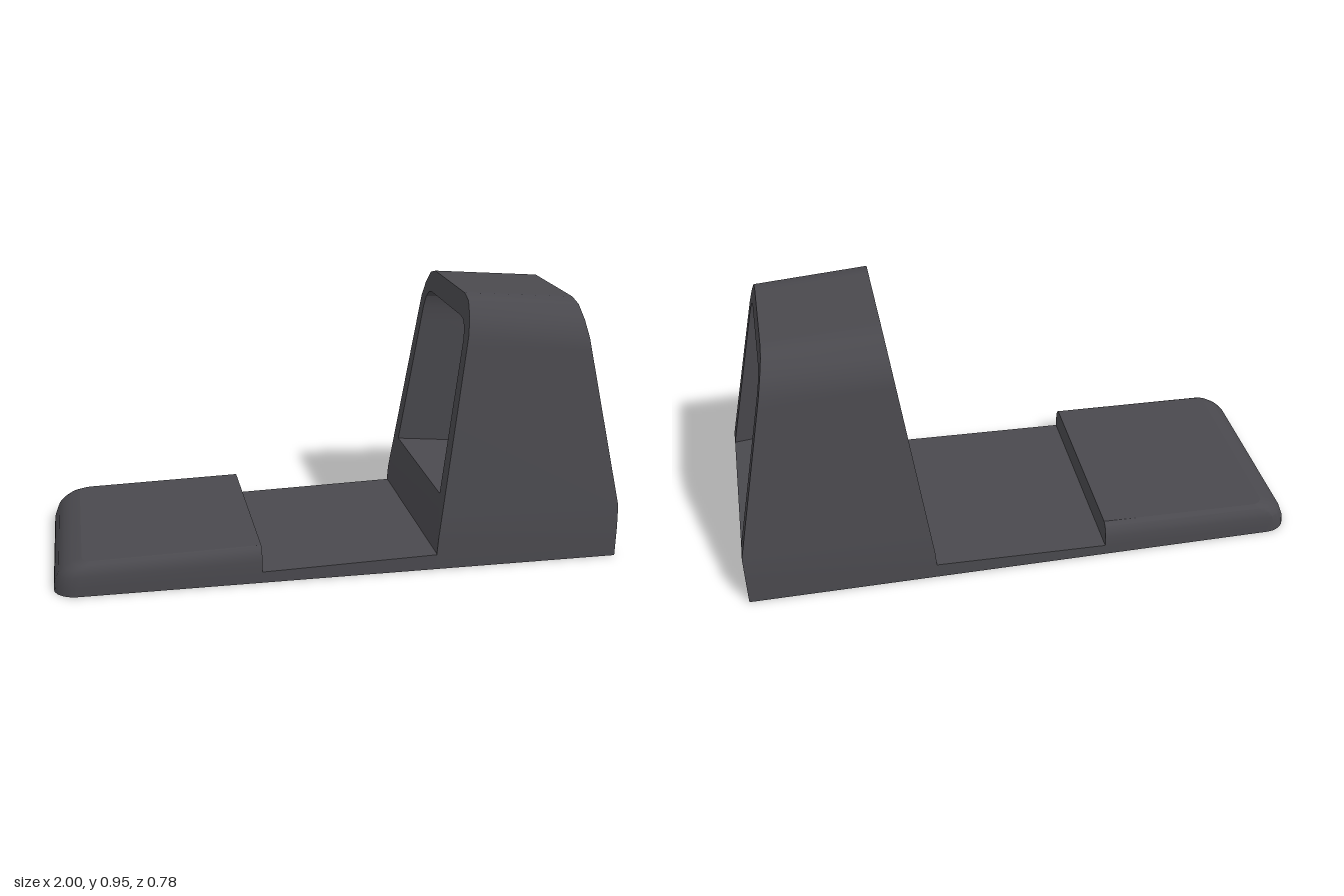
import * as THREE from 'three';
import { toCreasedNormals } from 'three/addons/utils/BufferGeometryUtils.js';

// Skin closed rings of equal point count, in order
function loft(rings) {
  const pos = [], n = rings[0].length;
  for (let k = 0; k + 1 < rings.length; k++) {
    const A = rings[k], B = rings[k + 1];
    for (let i = 0; i < n; i++) {
      const j = (i + 1) % n;
      for (const tri of [[A[i], A[j], B[j]], [A[i], B[j], B[i]]]) {
        const [a, b, c] = tri.map((p) => new THREE.Vector3(...p));
        const area = b.clone().sub(a).cross(c.clone().sub(a)).length();
        if (area > 1e-8) pos.push(...tri.flat());
      }
    }
  }
  const g = new THREE.BufferGeometry();
  g.setAttribute('position', new THREE.Float32BufferAttribute(pos, 3));
  return toCreasedNormals(g, 0.5);
}

const W = 0.388; // half width of the body

export function createModel() {
  const group = new THREE.Group();
  const charcoal = new THREE.MeshStandardMaterial({ color: 0x4a494e });
  charcoal.name = 'charcoal';
  const add = (name, geometry) => {
    const mesh = new THREE.Mesh(geometry, charcoal);
    mesh.name = name;
    group.add(mesh);
  };

  // Hood: tapered arch with a tunnel through it along x
  const outer = [[W, 0], [W, 0.11], [0.381, 0.19], [0.325, 0.78], [0.32, 0.83],
    [0.292, 0.89], [0.25, 0.935], [0.195, 0.95], [0.17, 0.95]];
  const inner = [[0.31, 0.195], [0.31, 0.195], [0.31, 0.195], [0.274, 0.72], [0.27, 0.78],
    [0.256, 0.82], [0.23, 0.843], [0.2, 0.85], [0.18, 0.85]];
  const leanIn = (y) => 0.325 + 0.148 * Math.max(0, y - 0.05);
  const leanOut = (y) => (y < 0.19 ? 0.995 + 0.026 * y : 1 - 0.2 * (y - 0.19));
  const arch = (half, xOf, yOf) => [
    ...half.map(([z, y]) => [xOf(yOf(y)), yOf(y), -z]),
    ...half.map(([z, y]) => [xOf(yOf(y)), yOf(y), z]).reverse(),
  ];
  const outerBack = arch(outer, leanIn, (y) => y);
  const outerFront = arch(outer, leanOut, (y) => (y > 0.5 ? y - 0.03 : y));
  const innerFront = arch(inner, leanOut, (y) => y);
  const innerBack = arch(inner, leanIn, (y) => (y < 0.5 ? y + 0.06 : y + 0.02));
  add('hood', loft([outerBack, outerFront, innerFront, innerBack, outerBack]));

  // Thin sloping bridge between pad and hood
  const bridge = new THREE.Shape();
  bridge.moveTo(-0.29, 0);
  bridge.lineTo(0.335, 0);
  bridge.lineTo(0.335, 0.055);
  bridge.lineTo(-0.29, 0.04);
  const bridgeGeo = new THREE.ExtrudeGeometry(bridge, { depth: 2 * W, bevelEnabled: false });
  add('bridge', bridgeGeo.translate(0, 0, -W));

  // Pad: rounded outlines stacked as [height, end inset, side inset]
  const layers = [[0, 0, 0], [0.03, 0.004, 0], [0.07, 0.02, 0], [0.09, 0.04, 0.005],
    [0.105, 0.065, 0.014], [0.115, 0.1, 0.03]];
  const tilt = (x, y) => y * (1 + 0.2 * (x + 0.9));
  const outline = ([y, dx, dz]) => {
    const r = 0.08 - dx * 0.4, w = W - dz, pts = [[-0.29, w], [-0.29, -w]];
    for (const side of [-1, 1]) {
      for (let i = 0; i <= 5; i++) {
        const a = (side < 0 ? i : 5 - i) * Math.PI / 10;
        pts.push([-1 + dx + r - r * Math.sin(a), side * (w - r + r * Math.cos(a))]);
      }
    }
    return pts.map(([x, z]) => [x, tilt(x, y), z]);
  };
  const rings = layers.map(outline);
  const point = (y) => rings[0].map(() => [-0.62, tilt(-0.62, y), 0]);
  add('padBody', loft([point(0), ...rings]));
  add('padTop', loft([rings[rings.length - 1], point(0.115)]));

  return group;
}
